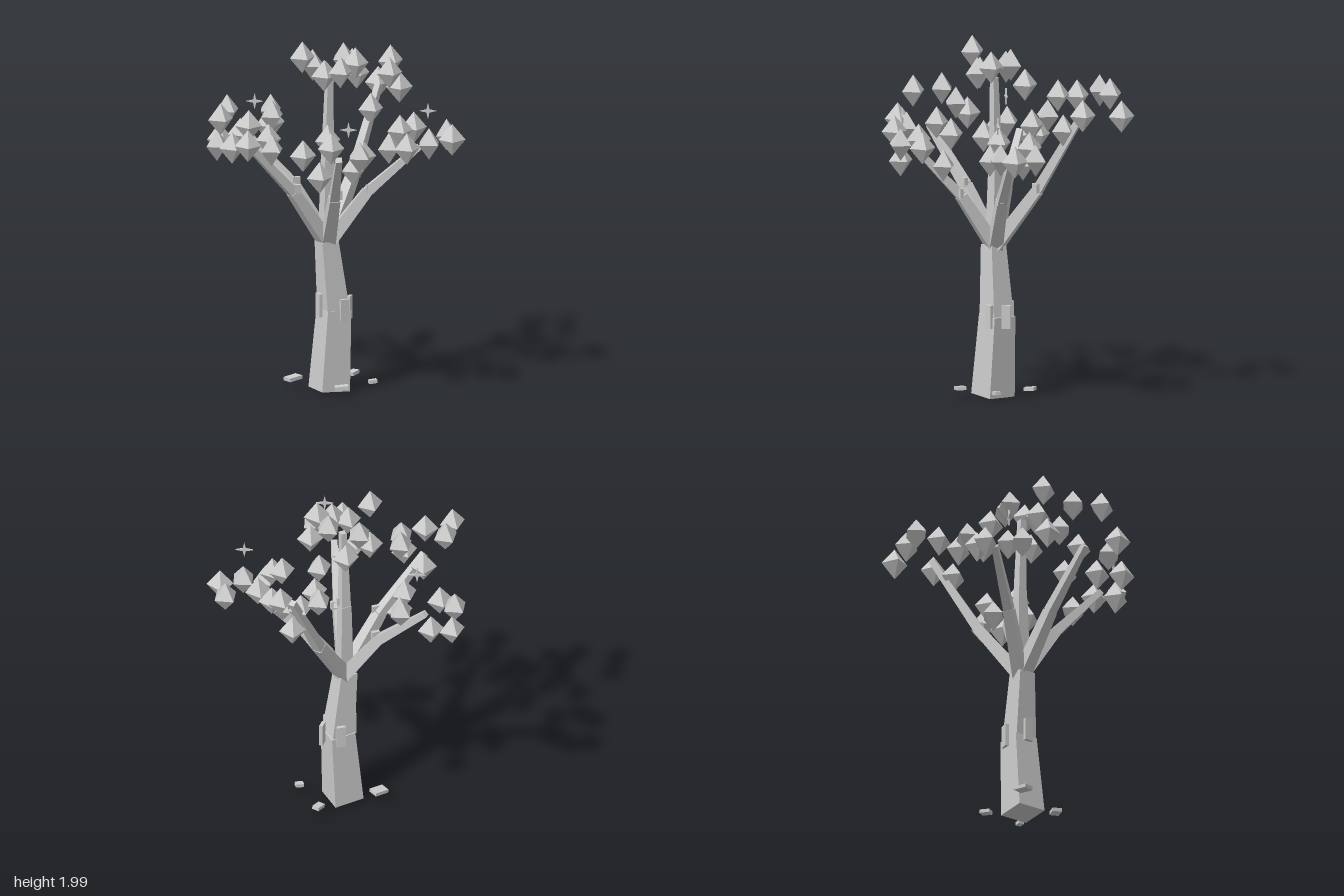
import * as THREE from 'three';

export function createModel() {
  const tree = new THREE.Group();
  tree.name = 'tree';
  const grey = new THREE.MeshStandardMaterial({ color: 0xcccccc, flatShading: true });
  grey.name = 'plainGrey';

  const add = (name, geometry, x, y, z, turn = 0) => {
    const mesh = new THREE.Mesh(geometry, grey);
    mesh.name = name;
    mesh.position.set(x, y, z);
    mesh.rotation.y = turn;
    tree.add(mesh);
    return mesh;
  };

  // Four-sided tapering limb between two points
  const limb = (name, from, r0, to, r1, twist) => {
    const a = new THREE.Vector3(...from), b = new THREE.Vector3(...to);
    const dir = b.clone().sub(a);
    const geometry = new THREE.CylinderGeometry(r1, r0, dir.length(), 4);
    geometry.rotateY(twist ?? Math.atan2(dir.x, dir.z) + Math.PI / 4);
    const mid = a.clone().add(b).multiplyScalar(0.5);
    const mesh = add(name, geometry, mid.x, mid.y, mid.z);
    mesh.quaternion.setFromUnitVectors(new THREE.Vector3(0, 1, 0), dir.normalize());
    return mesh;
  };

  // Trunk in two leaning sections
  limb('lowerTrunk', [-0.035, 0.01, 0.057], 0.121, [-0.01, 0.46, 0.037], 0.101, -0.29);
  limb('upperTrunk', [-0.012, 0.45, 0.04], 0.095, [-0.05, 0.85, 0.052], 0.07, -0.29);

  // Branches: middle point, tip
  const fork = [-0.045, 0.83, 0.045];
  const branches = [
    [[0.085, 1.16, -0.17], [0.22, 1.62, -0.41]],
    [[0.17, 1.12, 0.04], [0.46, 1.38, 0.035]],
    [[0.0, 1.13, 0.24], [0.035, 1.41, 0.5]],
    [[-0.23, 1.15, 0.18], [-0.47, 1.45, 0.34]],
    [[-0.24, 1.14, -0.05], [-0.5, 1.4, -0.165]],
    [[-0.045, 1.3, 0.04], [-0.035, 1.78, 0.05], -0.29],
  ];
  for (const [mid, tip, twist] of branches) {
    limb('lowerBranch', fork, 0.054, mid, 0.041, twist);
    limb('upperBranch', mid, 0.038, tip, 0.024, twist);
    add('branchKnot', new THREE.BoxGeometry(0.045, 0.05, 0.02), mid[0] + 0.02, mid[1] + 0.02, mid[2] + 0.01, 0.4);
  }

  // Bark plates around the trunk joint
  const plates = [
    [0.05, 0.46, 0.09, 0.5], [0.075, 0.46, 0.0, 1.3], [-0.09, 0.49, 0.08, -1.1], [-0.03, 0.47, -0.04, 0.3],
  ];
  for (const [x, y, z, turn] of plates) {
    add('barkPlate', new THREE.BoxGeometry(0.05, 0.13, 0.02), x, y, z, turn);
  }

  // Chips lying around the foot
  const chips = [
    [-0.235, 0.065, 0.03, 0.085, 0.7], [0.04, 0.065, 0.25, 0.075, 0.1],
    [0.09, 0.06, -0.13, 0.06, 1.0], [0.205, 0.06, 0.075, 0.045, 0.3],
  ];
  for (const [x, y, z, w, turn] of chips) {
    add('groundChip', new THREE.BoxGeometry(w, 0.02, w * 0.7), x, y, z, turn).rotation.z = 0.1;
  }

  // Octahedral leaves: x, y, z, turn in degrees
  const leaf = new THREE.OctahedronGeometry(1).scale(0.074, 0.09, 0.074);
  const crowns = {
    backLeaf: [
      [0.21, 1.585, -0.62, 8], [0.28, 1.725, -0.545, 25], [0.07, 1.71, -0.52, 40], [0.1, 1.69, -0.39, 20],
      [0.335, 1.615, -0.385, 8], [0.18, 1.51, -0.3, 25], [0.285, 1.725, -0.255, 22],
    ],
    rightLeaf: [
      [-0.37, 1.5, -0.3, 45], [-0.36, 1.45, -0.21, 20], [-0.535, 1.37, -0.27, 15], [-0.65, 1.35, -0.24, 25],
      [-0.38, 1.47, -0.075, 30], [-0.655, 1.36, -0.035, 40], [-0.57, 1.36, 0.025, 20],
    ],
    frontRightLeaf: [
      [-0.475, 1.51, 0.13, 3], [-0.59, 1.63, 0.255, 35], [-0.62, 1.615, 0.41, 25], [-0.345, 1.59, 0.215, 38],
      [-0.36, 1.48, 0.32, 20], [-0.465, 1.49, 0.52, 5], [-0.335, 1.46, 0.49, 40],
    ],
    topLeaf: [
      [-0.18, 1.905, 0.15, 25], [-0.06, 1.73, -0.125, 15], [-0.13, 1.82, -0.03, 45], [0.04, 1.86, -0.03, 42],
      [-0.06, 1.8, 0.14, 20], [0.03, 1.82, 0.14, 30], [0.11, 1.86, 0.09, 15],
    ],
    leftLeaf: [
      [0.29, 1.345, -0.06, 35], [0.425, 1.46, -0.075, 15], [0.605, 1.42, -0.08, 40], [0.64, 1.42, 0.04, 5],
      [0.515, 1.41, 0.1, 45], [0.395, 1.39, 0.14, 25], [0.355, 1.48, 0.085, 20],
    ],
    frontLeaf: [
      [-0.035, 1.47, 0.29, 20], [0.11, 1.32, 0.355, 30], [0.165, 1.43, 0.48, 8], [0.15, 1.45, 0.6, 45],
      [-0.005, 1.5, 0.61, 10], [-0.07, 1.325, 0.565, 20], [-0.165, 1.42, 0.45, 15],
    ],
  };
  for (const [name, list] of Object.entries(crowns)) {
    for (const [x, y, z, deg] of list) add(name, leaf, x, y, z, THREE.MathUtils.degToRad(deg));
  }

  // Thin four-pointed sparkles among the leaves
  const star = new THREE.Shape();
  for (let i = 0; i < 8; i++) {
    const r = i % 2 ? 0.012 : 0.047, t = (i * Math.PI) / 4;
    star[i ? 'lineTo' : 'moveTo'](r * Math.cos(t), r * Math.sin(t));
  }
  const sparkle = new THREE.ExtrudeGeometry(star, { depth: 0.009, bevelEnabled: false }).translate(0, 0, -0.0045);
  for (const [x, z] of [[-0.45, -0.08], [0.09, 0.58], [0.51, 0.115]]) add('sparkle', sparkle, x, 1.6, z);

  return tree;
}
